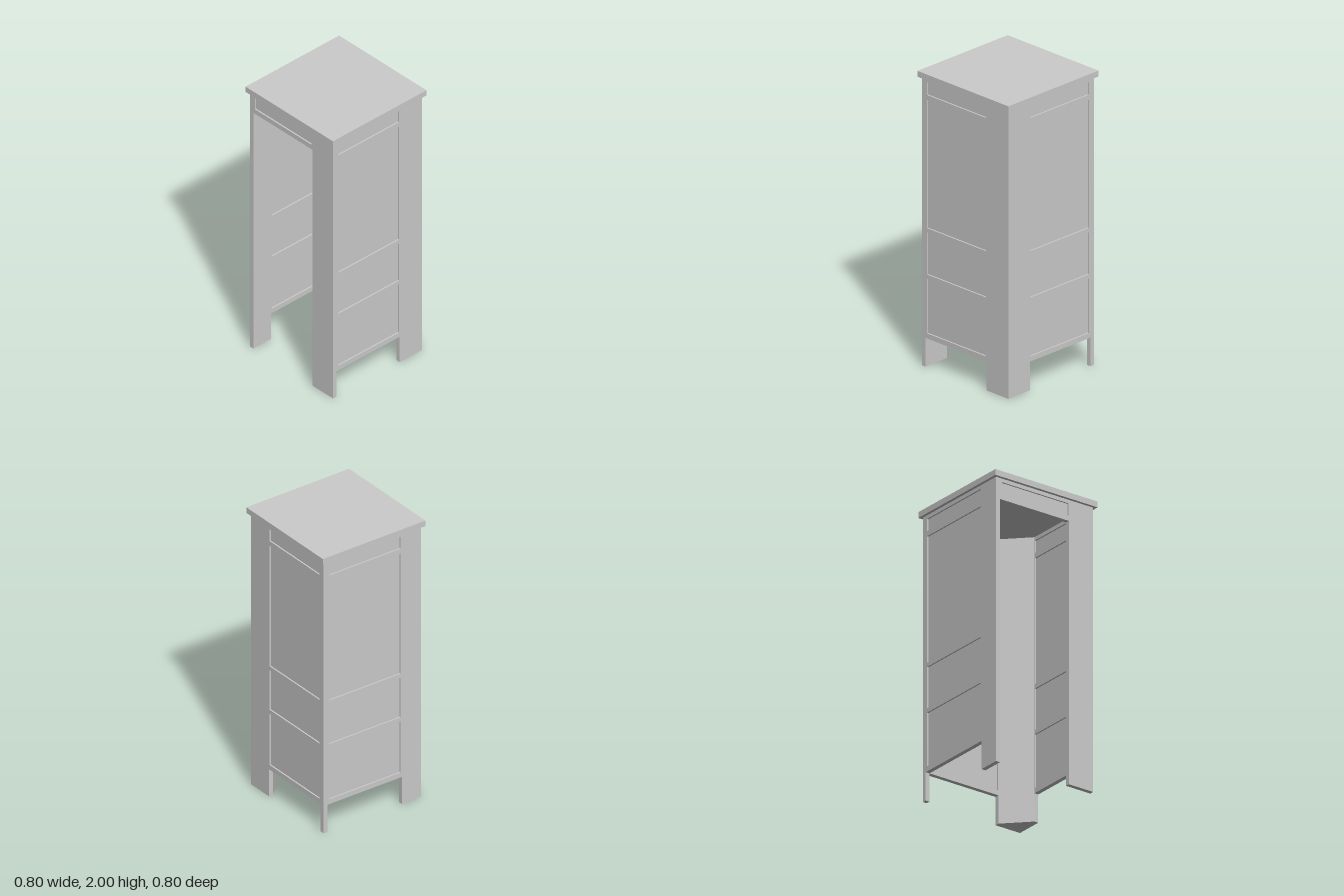
import * as THREE from 'three';

const material = new THREE.MeshStandardMaterial({ color: 0xcccccc });
const HALF = 0.38, T = 0.03, TOP = 1.96, INNER = HALF - T;
const HEADER = [[1.85, 1.935]];
const ROWS = [[0.23, 0.6], [0.63, 0.915], [0.945, 1.815], ...HEADER];

function mesh(geometry, name) {
  const m = new THREE.Mesh(geometry, material);
  m.name = name;
  return m;
}

// A framed board: legs either side of an open gap, with thin sunken panels above it
function wall(name, half, gap, gapTop, span, rows) {
  const [g0, g1] = gap, [p0, p1] = span;
  const pts = [];
  if (g0 > -half) pts.push([-half, 0], [g0, 0]);
  pts.push([g0, gapTop], [g1, gapTop]);
  if (g1 < half) pts.push([g1, 0], [half, 0]);
  pts.push([half, TOP], [-half, TOP]);
  const shape = new THREE.Shape(pts.map(p => new THREE.Vector2(...p)));

  const group = new THREE.Group();
  group.name = name;
  for (const [y0, y1] of rows) {
    const corners = [[p0, y0], [p0, y1], [p1, y1], [p1, y0]];
    shape.holes.push(new THREE.Path(corners.map(p => new THREE.Vector2(...p))));
    const panel = mesh(new THREE.BoxGeometry(p1 - p0, y1 - y0, 0.01), 'panel');
    panel.position.set((p0 + p1) / 2, (y0 + y1) / 2, T / 2);
    group.add(panel);
  }
  group.add(mesh(new THREE.ExtrudeGeometry(shape, { depth: T, bevelEnabled: false }), 'frame'));
  return group;
}

export function createModel() {
  const model = new THREE.Group();
  model.name = 'cabinet';

  // Top board
  const top = mesh(new THREE.BoxGeometry(0.8, 2 - TOP, 0.8), 'topBoard');
  top.position.y = (2 + TOP) / 2;
  model.add(top);

  // Front with tall doorway, back with panels
  const front = wall('frontWall', HALF, [-INNER, 0.19], 1.815, [-0.335, 0.185], HEADER);
  front.position.z = INNER;
  const back = wall('backWall', HALF, [-INNER, 0.19], 0.195, [-0.335, 0.185], ROWS);
  back.position.z = -HALF;

  // Side walls fit between front and back
  const left = wall('leftWall', INNER, [-INNER, 0.19], 0.195, [-0.335, 0.185], ROWS);
  left.position.x = INNER;
  const right = wall('rightWall', INNER, [-0.23, INNER], 0.195, [-0.22, 0.335], ROWS);
  right.position.x = -HALF;
  for (const side of [left, right]) side.rotation.y = Math.PI / 2;
  model.add(front, back, left, right);

  // Solid triangular pillar in the back left corner
  const tri = new THREE.Shape([[INNER, 0.19], [INNER, INNER], [0.19, INNER]].map(p => new THREE.Vector2(...p)));
  const pillar = new THREE.ExtrudeGeometry(tri, { depth: TOP, bevelEnabled: false });
  pillar.rotateX(-Math.PI / 2);
  model.add(mesh(pillar, 'cornerPillar'));

  return model;
}
